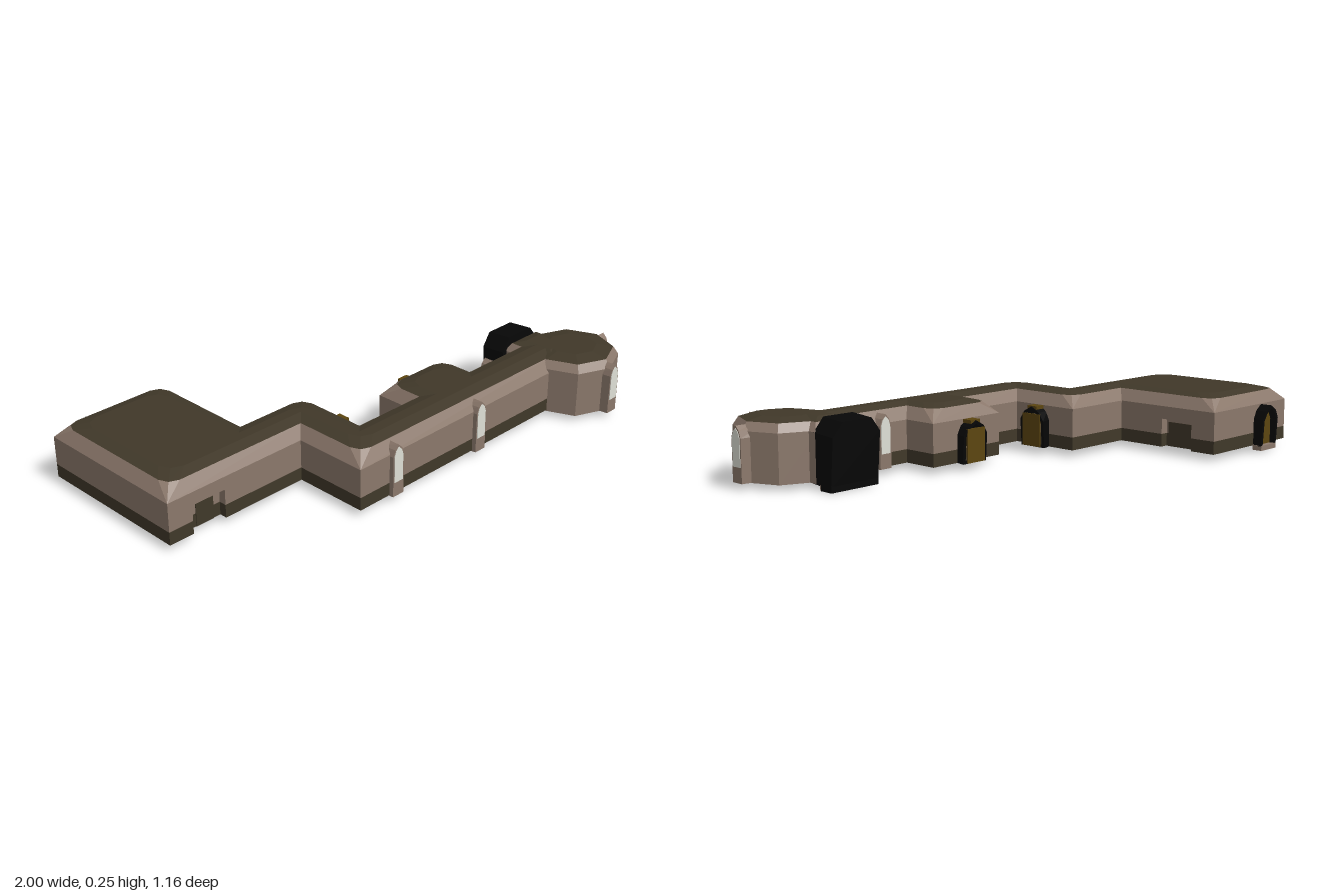
import * as THREE from 'three';

const mat = (name, color) => { const m = new THREE.MeshStandardMaterial({ color }); m.name = name; return m; };

// Offset a footprint inward, cutting convex corners by c (three points per corner)
function ring(poly, y, inset = 0, c = 0) {
  const n = poly.length;
  const dir = (a, b) => new THREE.Vector2(b[0] - a[0], b[1] - a[1]).normalize();
  const pts = poly.map((p, i) => {
    const d0 = dir(poly[(i + n - 1) % n], p), d1 = dir(p, poly[(i + 1) % n]);
    const k = inset / (1 + d0.dot(d1));
    return { x: p[0] - (d0.y + d1.y) * k, z: p[1] + (d0.x + d1.x) * k, d0, d1, convex: d0.cross(d1) > 0 };
  });
  const gap = (a, b) => Math.hypot(a.x - b.x, a.z - b.z);
  return pts.flatMap((p, i) => {
    const r = p.convex ? Math.min(c, 0.4 * gap(p, pts[(i + n - 1) % n]), 0.4 * gap(p, pts[(i + 1) % n])) : 0;
    return [[-r, 0], [-0.3 * r, 0.3 * r], [0, r]].map(([s, t]) =>
      new THREE.Vector3(p.x + p.d0.x * s + p.d1.x * t, y, p.z + p.d0.y * s + p.d1.y * t));
  });
}

function fromPoints(points) {
  const g = new THREE.BufferGeometry().setFromPoints(points);
  g.computeVertexNormals();
  return g;
}

// Walls between successive rings, facing outward
function loft(...rings) {
  const out = [];
  const tri = (a, b, c) => {
    if (a.distanceTo(b) > 1e-5 && b.distanceTo(c) > 1e-5 && a.distanceTo(c) > 1e-5) out.push(a, b, c);
  };
  for (let k = 0; k + 1 < rings.length; k++) {
    const lo = rings[k], hi = rings[k + 1];
    lo.forEach((a, i) => {
      const j = (i + 1) % lo.length;
      tri(lo[j], a, hi[i]);
      tri(lo[j], hi[i], hi[j]);
    });
  }
  return fromPoints(out);
}

// Flat cap over a ring, facing up (1) or down (-1)
function cap(points, facing) {
  const p = points.filter((q, i) => q.distanceTo(points[(i + 1) % points.length]) > 1e-5);
  const faces = THREE.ShapeUtils.triangulateShape(p.map(q => new THREE.Vector2(q.x, q.z)), []);
  return fromPoints(faces.flatMap(([a, b, c]) => {
    const ny = p[b].clone().sub(p[a]).cross(p[c].clone().sub(p[a])).y;
    return ny * facing > 0 ? [p[a], p[b], p[c]] : [p[a], p[c], p[b]];
  }));
}

const outline = (points, Type = THREE.Shape) => new Type(points.map(([x, y]) => new THREE.Vector2(x, y)));

// Pointed arch outline
function arch(hw, y0, shoulder, top, Type) {
  const mid = shoulder + 0.6 * (top - shoulder);
  return outline([[-hw, y0], [hw, y0], [hw, shoulder], [hw * 0.65, mid], [0, top], [-hw * 0.65, mid], [-hw, shoulder]], Type);
}

// Extrude a shape from z0 to z1, scaling the width at z1 and leaning its top outward
function solid(shape, z0, z1, scale = 1, lean = 0) {
  const g = new THREE.ExtrudeGeometry(shape, { depth: z1 - z0, bevelEnabled: false });
  g.translate(0, 0, z0);
  const p = g.attributes.position;
  for (let i = 0; i < p.count; i++) {
    const t = (p.getZ(i) - z0) / (z1 - z0);
    p.setX(i, p.getX(i) * (1 + (scale - 1) * t));
    p.setZ(i, p.getZ(i) + lean * t * (p.getY(i) / 0.2 - 1));
  }
  g.computeVertexNormals();
  return g;
}

export function createModel() {
  const model = new THREE.Group();
  model.name = 'corridorBuilding';
  const wall = mat('stone wall', 0x8b786b), dark = mat('olive roof and plinth', 0x403829);
  const floor = mat('grey floor', 0x6a605a), black = mat('black frame', 0x070707);
  const gold = mat('dark gold', 0x5c4510), glass = mat('pale glass', 0xdedfd6), rugMat = mat('maroon rug', 0x5c2a45);
  const add = (name, geometry, material, parent = model) => {
    const m = new THREE.Mesh(geometry, material);
    m.name = name;
    parent.add(m);
    return m;
  };
  const box = (name, x0, x1, y0, y1, z0, z1, material, parent) =>
    add(name, new THREE.BoxGeometry(x1 - x0, y1 - y0, z1 - z0)
      .translate((x0 + x1) / 2, (y0 + y1) / 2, (z0 + z1) / 2), material, parent);
  const place = (name, x, z, turn) => {
    const g = new THREE.Group();
    g.name = name;
    g.position.set(x, 0, z);
    g.rotation.y = turn;
    model.add(g);
    return g;
  };

  // Hall: room, bent corridor and alcove, with two wall niches near the ground
  const hall = [[-1, -0.535], [-0.517, -0.535], [-0.517, -0.09], [-0.22, -0.09], [-0.22, 0.2], [0.03, 0.2], [0.03, 0.06],
    [0.37, 0.06], [0.37, 0.2], [0.78, 0.2], [0.78, 0.394], [-0.41, 0.394], [-0.41, 0.1], [-1, 0.1]];
  const base = hall.slice();
  base.splice(13, 0, [-0.76, 0.1], [-0.76, 0.07], [-0.9, 0.07], [-0.9, 0.1]);
  base.splice(2, 0, [-0.517, -0.43], [-0.55, -0.43], [-0.55, -0.29], [-0.517, -0.29]);
  add('plinth', loft(ring(base, 0.025), ring(base, 0.075)), dark);
  add('lowerWalls', loft(ring(base, 0.075), ring(base, 0.135)), wall);
  add('upperWalls', loft(ring(hall, 0.135), ring(hall, 0.185), ring(hall, 0.23, 0.03, 0.05)), wall);
  add('roofSlope', loft(ring(hall, 0.23, 0.03, 0.05), ring(hall, 0.242, 0.075, 0.06)), dark);
  add('roofTop', cap(ring(hall, 0.242, 0.075, 0.06), 1), dark);
  add('hallFloor', cap(ring(base, 0.025), -1), floor);
  box('frontNicheLintel', -0.9, -0.76, 0.135, 0.14, 0.07, 0.099, wall);
  box('sideNicheLintel', -0.55, -0.518, 0.135, 0.14, -0.43, -0.29, wall);
  box('frontNichePanel', -0.865, -0.79, 0.025, 0.115, 0.07, 0.073, dark);
  box('sideNichePanel', -0.55, -0.547, 0.025, 0.12, -0.42, -0.3, dark);

  // Eight-sided tower at the end of the corridor, and the short lobby behind it
  const octagon = r => Array.from({ length: 8 }, (_, i) =>
    [0.79 + r * Math.cos(i * Math.PI / 4), 0.37 + r * Math.sin(i * Math.PI / 4)]);
  const lobby = [[0.63, 0.165], [0.82, 0.165], [0.82, 0.4], [0.63, 0.4]];
  for (const [name, plan, slope] of [['tower', octagon(0.183), 0.08], ['lobby', lobby, 0.06]]) {
    add(name + 'Walls', loft(ring(plan, 0.021), ring(plan, 0.2), ring(plan, 0.231, 0.02)), wall);
    add(name + 'RoofSlope', loft(ring(plan, 0.231, 0.02), ring(plan, 0.243, slope)), dark);
    add(name + 'RoofTop', cap(ring(plan, 0.243, slope), 1), dark);
    add(name + 'Floor', cap(ring(plan, 0.021), -1), floor);
  }
  add('towerFloorInlay', cap(ring(octagon(0.14), 0.019), -1), gold);

  // Rug along the bend, showing on the underside
  box('rugFront', -0.36, -0.04, 0.0235, 0.0245, 0.255, 0.335, rugMat);
  box('rugMiddle', -0.36, -0.28, 0.0235, 0.0245, -0.04, 0.255, rugMat);
  box('rugBack', -0.47, -0.36, 0.0235, 0.0245, -0.04, 0.04, rugMat);

  // Pointed windows on projecting ribs
  const windows = [[-0.24, 0.39, 0], [0.2, 0.39, 0], [0.79, 0.555, 0], [0.978, 0.37, Math.PI / 2], [0.49, 0.2, Math.PI]];
  for (const [x, z, turn] of windows) {
    const g = place('window', x, z, turn);
    add('windowRib', solid(arch(0.033, 0.022, 0.18, 0.222), -0.05, 0.02, 0.78), wall, g);
    add('windowPane', solid(arch(0.021, 0.078, 0.18, 0.214), 0.016, 0.022), glass, g);
  }

  // Doors in flared arched frames
  const doors = [[-0.83, -0.535, Math.PI], [0.2, 0.06, Math.PI], [-0.22, 0.08, Math.PI / 2]];
  doors.forEach(([x, z, turn], i) => {
    const g = place('door', x, z, turn);
    const frame = arch(0.046, 0.025, 0.13, 0.183);
    frame.holes.push(arch(0.036, 0.027, 0.125, 0.17, THREE.Path));
    add('doorFrame', solid(frame, -0.01, 0.05, i ? 1.3 : 1.12, 0.012), black, g);
    if (i) {
      box('doorLeaf', -0.044, 0.044, 0.028, 0.155, 0.043, 0.05, gold, g);
      box('doorKeystone', -0.024, 0.024, 0.172, 0.185, 0.005, 0.045, gold, g);
    } else {
      add('doorLeaf', solid(arch(0.039, 0.026, 0.127, 0.173), 0.012, 0.02), gold, g);
      box('doorStep', -0.05, 0.05, 0.008, 0.028, 0, 0.04, wall, g);
    }
  });

  // Large dark portal leaning out behind the lobby
  const portal = place('portal', 0.715, 0.18, Math.PI);
  const block = outline([[-0.105, 0.02], [0.105, 0.02], [0.105, 0.2], [0.065, 0.25], [-0.065, 0.25], [-0.105, 0.2]]);
  add('portalBlock', solid(block, -0.009, 0.092), black, portal).rotation.x = 0.08;
  box('portalStep', -0.105, 0.105, 0, 0.022, 0.04, 0.095, black, portal);
  box('portalStepEdge', -0.105, 0.105, 0, 0.022, 0.035, 0.04, wall, portal);
  return model;
}
